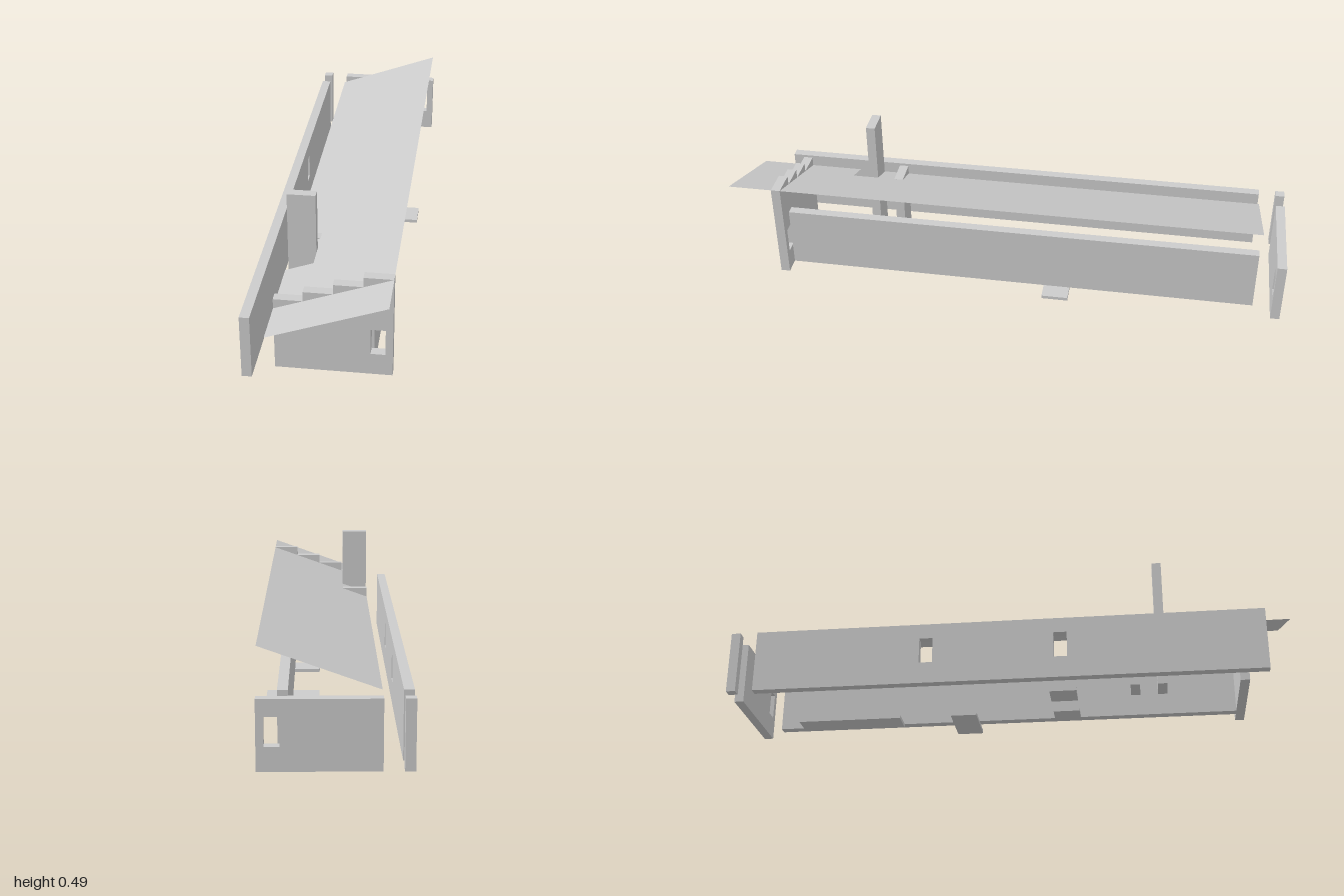
import * as THREE from 'three';

const M = 2 / 21;          // grid module
const T = 0.033;           // wall thickness
const BASE = 0.012;        // underside of the walls
const EAVE = 0.238;        // top of the walls and low edge of the roof
const X0 = -1.5 * M, X1 = 2.5 * M;
const WIN_Y = [0.09, 0.183];

export function createModel() {
  const model = new THREE.Group();
  const mat = new THREE.MeshStandardMaterial({ color: 0xcccccc, flatShading: true });
  const thinMat = mat.clone();
  thinMat.side = THREE.DoubleSide;

  const add = (name, geometry, material = mat) => {
    const mesh = new THREE.Mesh(geometry, material);
    mesh.name = name;
    model.add(mesh);
    return mesh;
  };

  // box given by its limits on each axis
  const box = (name, [xa, xb], [ya, yb], [za, zb]) =>
    add(name, new THREE.BoxGeometry(xb - xa, yb - ya, zb - za)
      .translate((xa + xb) / 2, (ya + yb) / 2, (za + zb) / 2));

  // upright panel with rectangular window holes, extruded by the wall thickness
  const panel = (outline, windows) => {
    const shape = new THREE.Shape(outline.map(([u, v]) => new THREE.Vector2(u, v)));
    for (const [a, b] of windows) {
      const [lo, hi] = WIN_Y;
      shape.holes.push(new THREE.Path([[a, lo], [a, hi], [b, hi], [b, lo]]
        .map(([u, v]) => new THREE.Vector2(u, v))));
    }
    return new THREE.ExtrudeGeometry(shape, { depth: T, bevelEnabled: false });
  };
  const rect = (a, b) => [[a, BASE], [b, BASE], [b, EAVE], [a, EAVE]];
  const endWindow = [1.75 * M, 2.25 * M];

  // front wall with four rising steps that break through the roof
  const stepped = [[X0, BASE], [X1, BASE]];
  for (let i = 3; i >= 0; i--) {
    const top = 0.2725 + i * 0.0342;
    stepped.push([X0 + (i + 1) * M, top], [X0 + i * M, top]);
  }
  add('frontWall', panel(stepped, [endWindow])).position.z = 8.5 * M;

  // back wall and the separate corner post
  add('backWall', panel(rect(X0, X1), [endWindow])).position.z = -1;
  box('cornerPost', [-0.24, -0.24 + T], [BASE, EAVE], [-1, -1 + T]);

  // long walls: the one at -x has two windows, the other is plain
  const half = M / 4;
  const centres = [-2 * M, 3 * M];   // measured along -z
  const longWall = add('rightWall',
    panel(rect(-0.905, 0.905), centres.map(c => [c - half, c + half])));
  longWall.rotation.y = Math.PI / 2;
  longWall.position.x = -0.24;
  box('leftWall', [1.5 * M, 1.5 * M + T], [BASE, EAVE], [-0.905, 8.5 * M]);

  // chimney and the short partition beside it
  box('chimney', [X0, X0 + M], [BASE, 0.49], [5.5 * M, 5.5 * M + T]);
  box('partition', [X0, X0 + M], [BASE, 0.2725], [4.5 * M, 4.5 * M + T]);

  // sloping sheet roof, notched at its low edge around the chimney
  const roof = new THREE.Shape([
    [X0, -1], [X1, -1], [X1, 0.905], [X0, 0.905],
    [X0, -5.5 * M], [X0 + M, -5.5 * M], [X0 + M, -6.5 * M], [X0, -6.5 * M],
  ].map(([x, y]) => new THREE.Vector2(x, y)));
  const roofGeo = new THREE.ShapeGeometry(roof).rotateX(-Math.PI / 2);
  const p = roofGeo.attributes.position;
  for (let i = 0; i < p.count; i++) {
    p.setY(i, EAVE + (p.getX(i) - X0) / (X1 - X0) * 0.137);
  }
  roofGeo.computeVertexNormals();
  add('roof', roofGeo, thinMat);

  // loose floor slabs, limits in modules: x from, x to, z from, z to
  const slabs = [
    [-1.5, -0.5, 1.5, 2.5],
    [0.5, 1.5, 1.5, 2.5],
    [0.5, 2.5, -2.5, -1.5],
    [0.5, 1.5, -8.5, -4.5],
  ];
  for (const [a, b, c, d] of slabs) {
    box('floorSlab', [a * M, b * M], [0, BASE], [c * M, d * M]);
  }

  return model;
}
